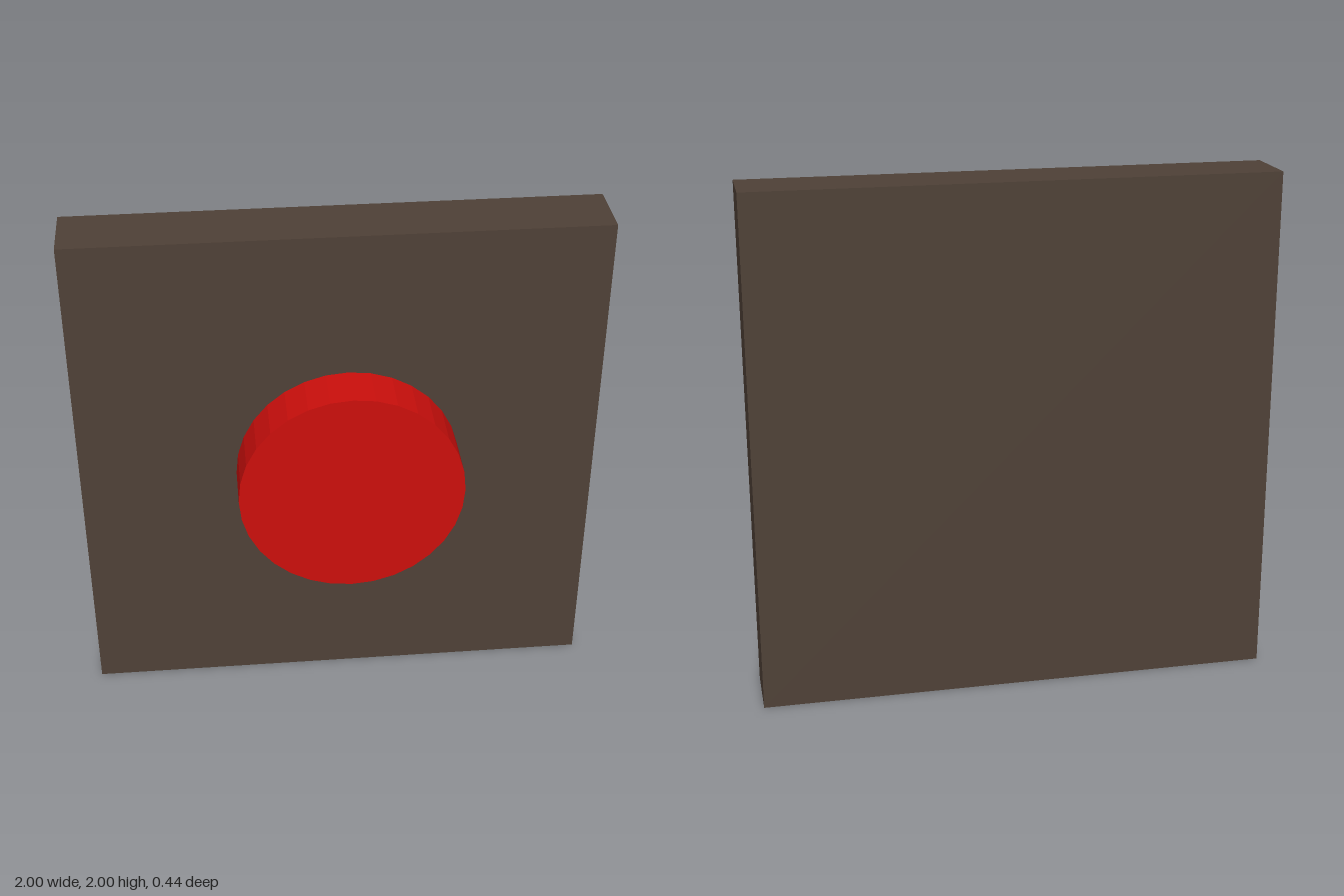
import * as THREE from 'three';

function addPart(group, name, geometry, color, position) {
  const material = new THREE.MeshStandardMaterial({ color, flatShading: true });
  const mesh = new THREE.Mesh(geometry, material);
  mesh.name = name;
  mesh.position.set(...position);
  group.add(mesh);
}

export function createModel() {
  const group = new THREE.Group();
  group.name = 'wallButton';

  // Square backing plate
  addPart(group, 'plate', new THREE.BoxGeometry(2, 2, 0.25), 0x4f4137, [0, 1, -0.096]);

  // Round button on the front, slightly off centre, its rear end sunk in the plate
  const button = new THREE.CylinderGeometry(0.432, 0.432, 0.25, 32).rotateX(Math.PI / 2);
  addPart(group, 'button', button, 0xcc0f0c, [0.032, 1.002, 0.096]);

  return group;
}
